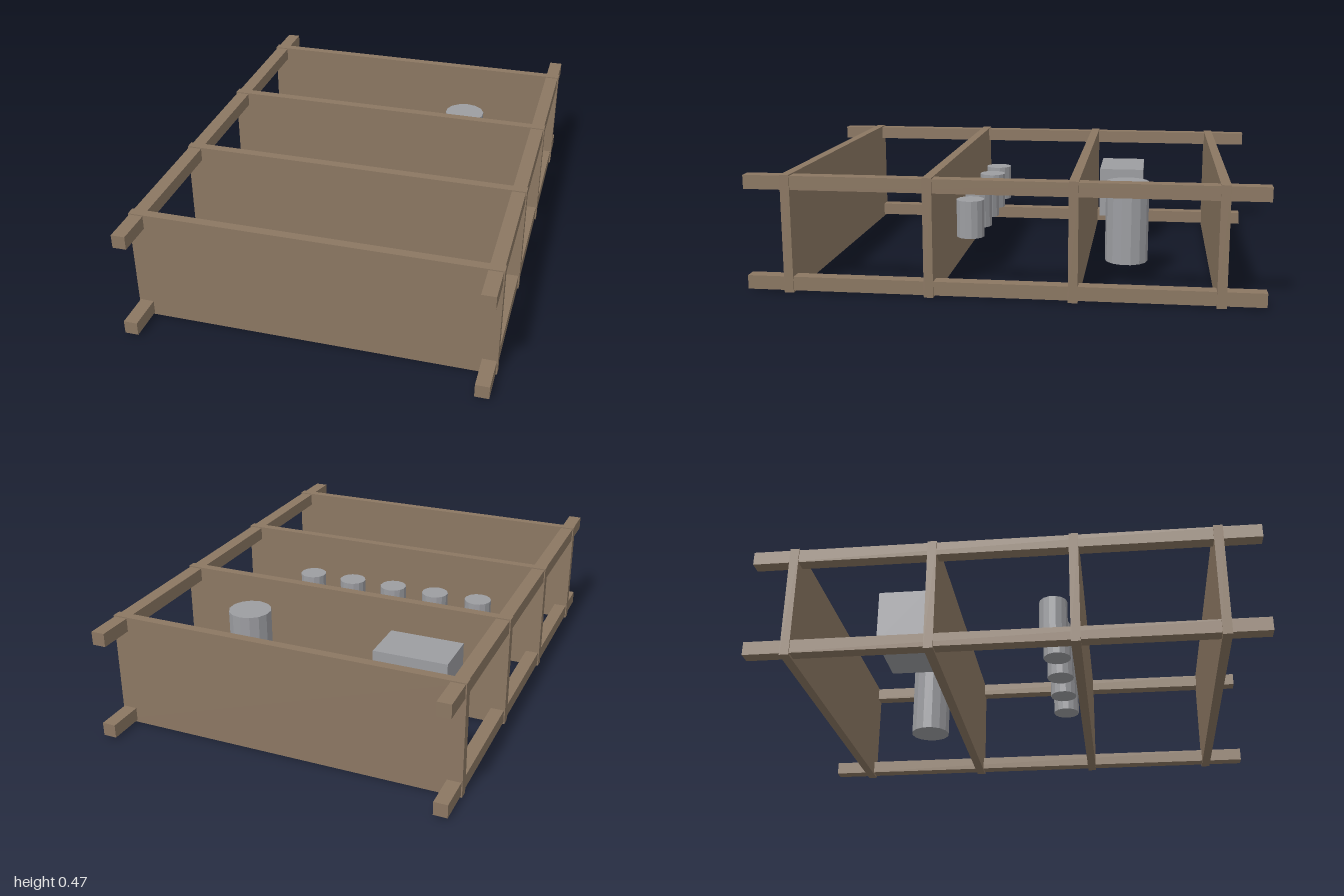
import * as THREE from 'three';

export function createModel() {
  const model = new THREE.Group();
  model.name = 'shelfUnit';
  const wood = new THREE.MeshStandardMaterial({ name: 'wood', color: 0x8b7762, flatShading: true });
  const grey = new THREE.MeshStandardMaterial({ name: 'grey', color: 0x9c9da1, flatShading: true });

  const add = (name, geometry, material, x, y, z) => {
    const mesh = new THREE.Mesh(geometry, material);
    mesh.name = name;
    mesh.position.set(x, y, z);
    model.add(mesh);
  };

  // Four long corner posts
  const post = new THREE.BoxGeometry(0.055, 0.055, 2);
  for (const x of [-0.69, 0.69]) {
    for (const y of [0.036, 0.436]) add('post', post, wood, x, y, 0);
  }

  // Four shelf boards, evenly spaced along the posts
  const board = new THREE.BoxGeometry(1.444, 0.468, 0.037);
  for (let i = 0; i < 4; i++) add('shelfBoard', board, wood, 0, 0.234, -0.833 + i * 0.5553);

  // Row of small cans
  const can = new THREE.CylinderGeometry(0.058, 0.058, 0.156, 14);
  for (let i = 0; i < 5; i++) add('smallCan', can, grey, -0.45 + i * 0.2, 0.236, 0.177);

  // Large canister and storage box
  add('canister', new THREE.CylinderGeometry(0.0875, 0.0875, 0.328, 14), grey, 0.331, 0.236, -0.467);
  add('storageBox', new THREE.BoxGeometry(0.308, 0.22, 0.198), grey, -0.392, 0.237, -0.425);

  return model;
}
